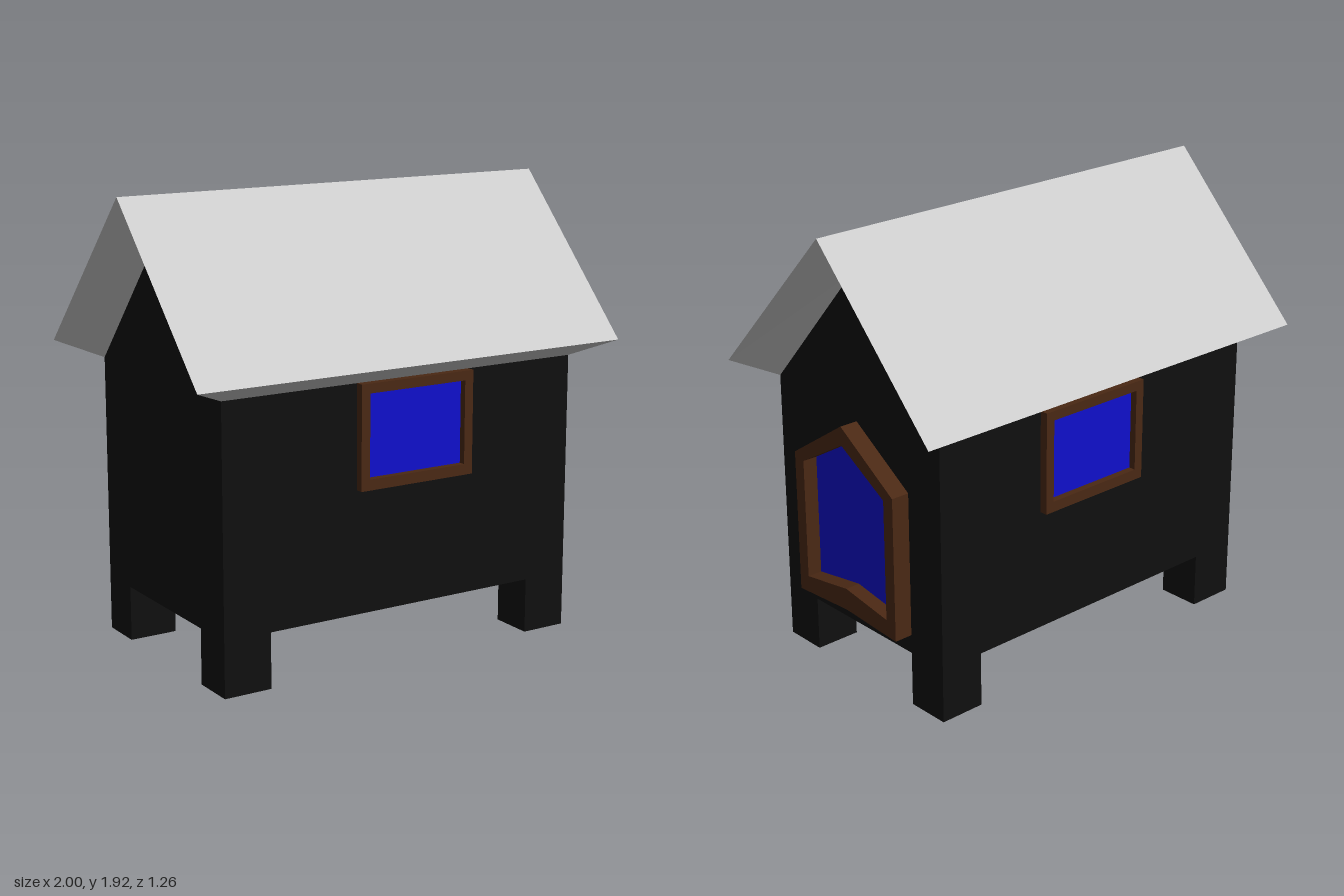
import * as THREE from 'three';

const material = (color) => new THREE.MeshStandardMaterial({ color, flatShading: true });

export function createModel() {
  const house = new THREE.Group();
  const dark = material(0x101010);
  const grey = material(0xcccccc);
  const brown = material(0x4a2814);
  const blue = material(0x1010cc);

  const add = (name, geometry, mat) => {
    const mesh = new THREE.Mesh(geometry, mat);
    mesh.name = name;
    house.add(mesh);
    return mesh;
  };
  // Box given by its lower and upper corners
  const box = (name, lo, hi, mat) => {
    const g = new THREE.BoxGeometry(hi[0] - lo[0], hi[1] - lo[1], hi[2] - lo[2]);
    g.translate((lo[0] + hi[0]) / 2, (lo[1] + hi[1]) / 2, (lo[2] + hi[2]) / 2);
    return add(name, g, mat);
  };
  const outline = (points) => points.map(([x, y]) => new THREE.Vector2(x, y));
  const extrude = (points, hole, depth) => {
    const shape = new THREE.Shape(outline(points));
    if (hole) shape.holes.push(new THREE.Path(outline(hole)));
    return new THREE.ExtrudeGeometry(shape, { depth, bevelEnabled: false });
  };
  // Extrusion of a z-y outline along x
  const extrudeX = (points, hole, x0, x1) =>
    extrude(points, hole, x1 - x0).rotateY(Math.PI / 2).translate(x0, 0, 0);

  const X0 = -0.83, X1 = 0.84, Z = 0.5, FLOOR = 0.235, EAVE = 1.19, GABLE = 1.75;

  // Body with gable ends
  add('body', extrudeX([[-Z, FLOOR], [Z, FLOOR], [Z, EAVE], [0, GABLE], [-Z, EAVE]], null, X0, X1), dark);

  // Corner legs
  for (const [a, b] of [[X0, -0.62], [0.64, X1]])
    for (const [c, d] of [[-Z, -0.31], [0.31, Z]])
      box('leg', [a, 0, c], [b, FLOOR + 0.01, d], dark);

  // Roof: overhanging slopes tapering back to the walls
  const positions = [];
  const quad = (p, side) => {
    const q = p.map(([x, y, z]) => [x, y, z * side]);
    if (side < 0) q.reverse();
    for (const i of [0, 1, 2, 0, 2, 3]) positions.push(...q[i]);
  };
  const eave = (x) => [x, 1.26, 0.63], ridge = (x) => [x, 1.92, 0];
  const wallTop = (x) => [x, EAVE, Z], peak = (x) => [x, GABLE, 0];
  for (const side of [1, -1]) {
    quad([eave(-1), eave(1), ridge(1), ridge(-1)], side);
    quad([wallTop(X0), wallTop(X1), eave(1), eave(-1)], side);
    quad([eave(1), wallTop(X1), peak(X1), ridge(1)], side);
    quad([eave(-1), ridge(-1), peak(X0), wallTop(X0)], side);
  }
  const roof = new THREE.BufferGeometry();
  roof.setAttribute('position', new THREE.Float32BufferAttribute(positions, 3));
  roof.computeVertexNormals();
  add('roof', roof, grey);

  // Framed windows on the long walls
  const rect = (a, b, c, d) => [[a, b], [c, b], [c, d], [a, d]];
  for (const side of [1, -1]) {
    const frame = extrude(rect(-0.22, 0.755, 0.32, EAVE), rect(-0.18, 0.8, 0.28, 1.15), 0.035);
    frame.translate(0, 0, side > 0 ? Z : -Z - 0.035);
    add('windowFrame', frame, brown);
    const z = [side * (Z - 0.01), side * (Z + 0.005)].sort((a, b) => a - b);
    box('windowPane', [-0.18, 0.8, z[0]], [0.28, 1.15, z[1]], blue);
  }

  // Pointed doorway on the +x end
  const pointed = (w, side, mid, shoulder, top) =>
    [[-w, side], [0, mid], [w, side], [w, shoulder], [0, top], [-w, shoulder]];
  const outer = pointed(0.31, 0.315, 0.335, 0.935, 1.14);
  const inner = pointed(0.255, 0.39, 0.43, 0.91, 1.06);
  add('doorFrame', extrudeX(outer, inner, X1, 0.92), brown);
  add('doorBacking', extrudeX(pointed(0.305, 0.315, 0.315, 0.93, 1.13), null, X1 - 0.01, X1 + 0.006), brown);
  add('doorPane', extrudeX(inner, null, X1, X1 + 0.015), blue);

  return house;
}
